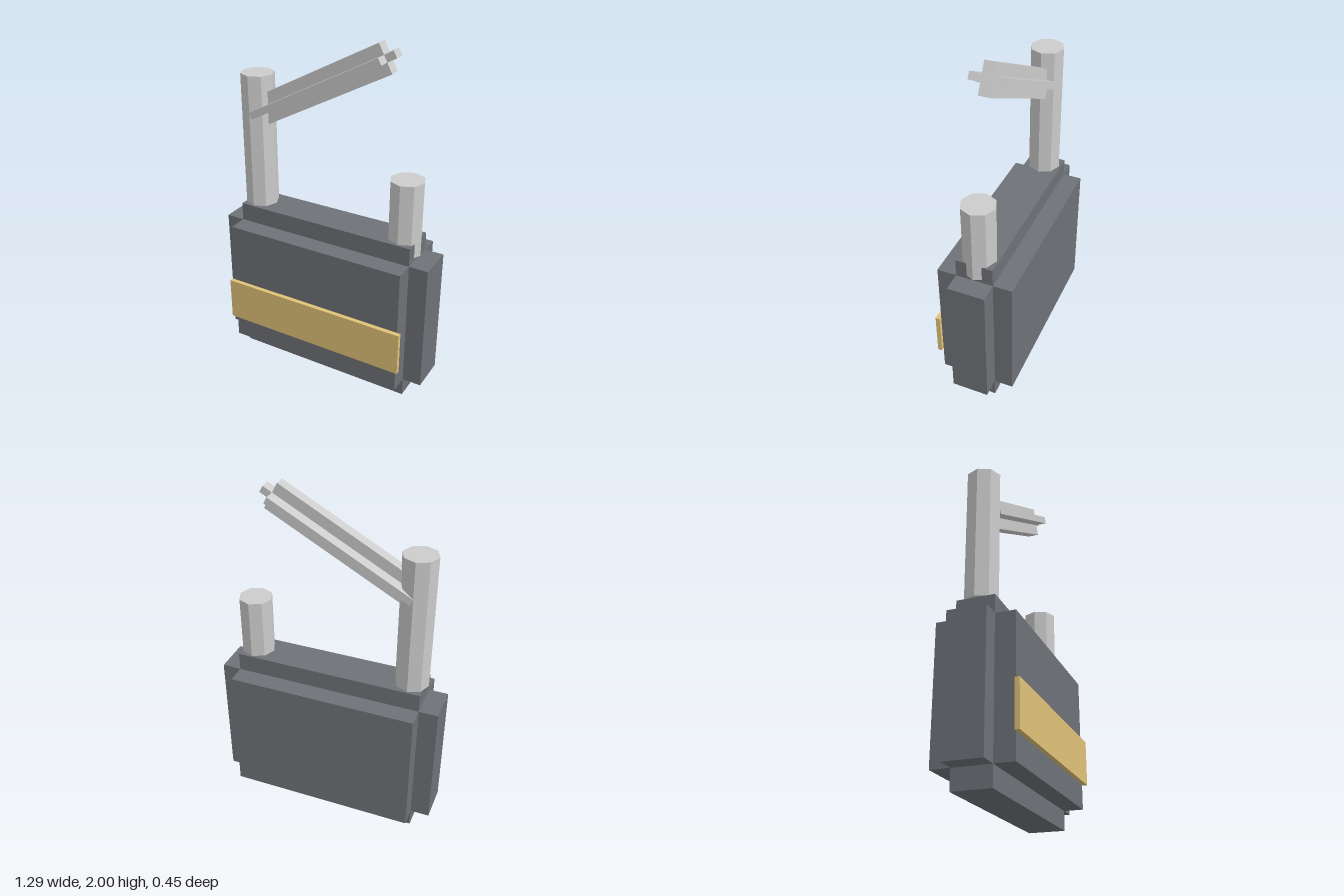
import * as THREE from 'three';

const metal = new THREE.MeshStandardMaterial({ color: 0xcccccc, flatShading: true });
const dark = new THREE.MeshStandardMaterial({ color: 0x6e7177, flatShading: true });
const gold = new THREE.MeshStandardMaterial({ color: 0xe0c278, flatShading: true });

// Box given by its minimum and maximum corners
function box(name, material, [x0, y0, z0], [x1, y1, z1]) {
  const geometry = new THREE.BoxGeometry(x1 - x0, y1 - y0, z1 - z0);
  geometry.translate((x0 + x1) / 2, (y0 + y1) / 2, (z0 + z1) / 2);
  const mesh = new THREE.Mesh(geometry, material);
  mesh.name = name;
  return mesh;
}

// Octagonal upright of the shackle
function post(name, x, bottom, top) {
  const geometry = new THREE.CylinderGeometry(0.095, 0.095, top - bottom, 8);
  const mesh = new THREE.Mesh(geometry, metal);
  mesh.name = name;
  mesh.position.set(x, (bottom + top) / 2, -0.015);
  return mesh;
}

export function createModel() {
  const model = new THREE.Group();
  model.name = 'openPadlock';

  // Lock body: three crossing blocks leave stepped edges
  const body = new THREE.Group();
  body.name = 'body';
  body.add(
    box('tallBlock', dark, [-0.535, 0, -0.12], [0.535, 0.965, 0.09]),
    box('wideBlock', dark, [-0.643, 0.11, -0.12], [0.643, 0.86, 0.09]),
    box('deepBlock', dark, [-0.535, 0.11, -0.228], [0.535, 0.86, 0.2])
  );

  // Front band
  const band = box('frontBand', gold, [-0.555, 0.25, 0.2], [0.555, 0.503, 0.225]);

  // Uprights: the long fixed one and the short one
  const longPost = post('longPost', -0.46, 0.965, 1.735);
  const shortPost = post('shortPost', 0.458, 0.88, 1.305);

  // Raised shackle arm with a cross-shaped section, running back from its tip
  const arm = new THREE.Group();
  arm.name = 'shackleArm';
  arm.add(
    box('armUpright', metal, [-0.85, -0.082, -0.031], [0, 0.082, 0.031]),
    box('armFlat', metal, [-0.88, -0.02, -0.095], [0, 0.02, 0.095]),
    box('armCore', metal, [-0.88, -0.02, -0.031], [0.058, 0.02, 0.031])
  );
  arm.position.set(0.322, 1.927, -0.015);
  arm.rotation.z = THREE.MathUtils.degToRad(28.2);

  model.add(body, band, longPost, shortPost, arm);
  return model;
}
